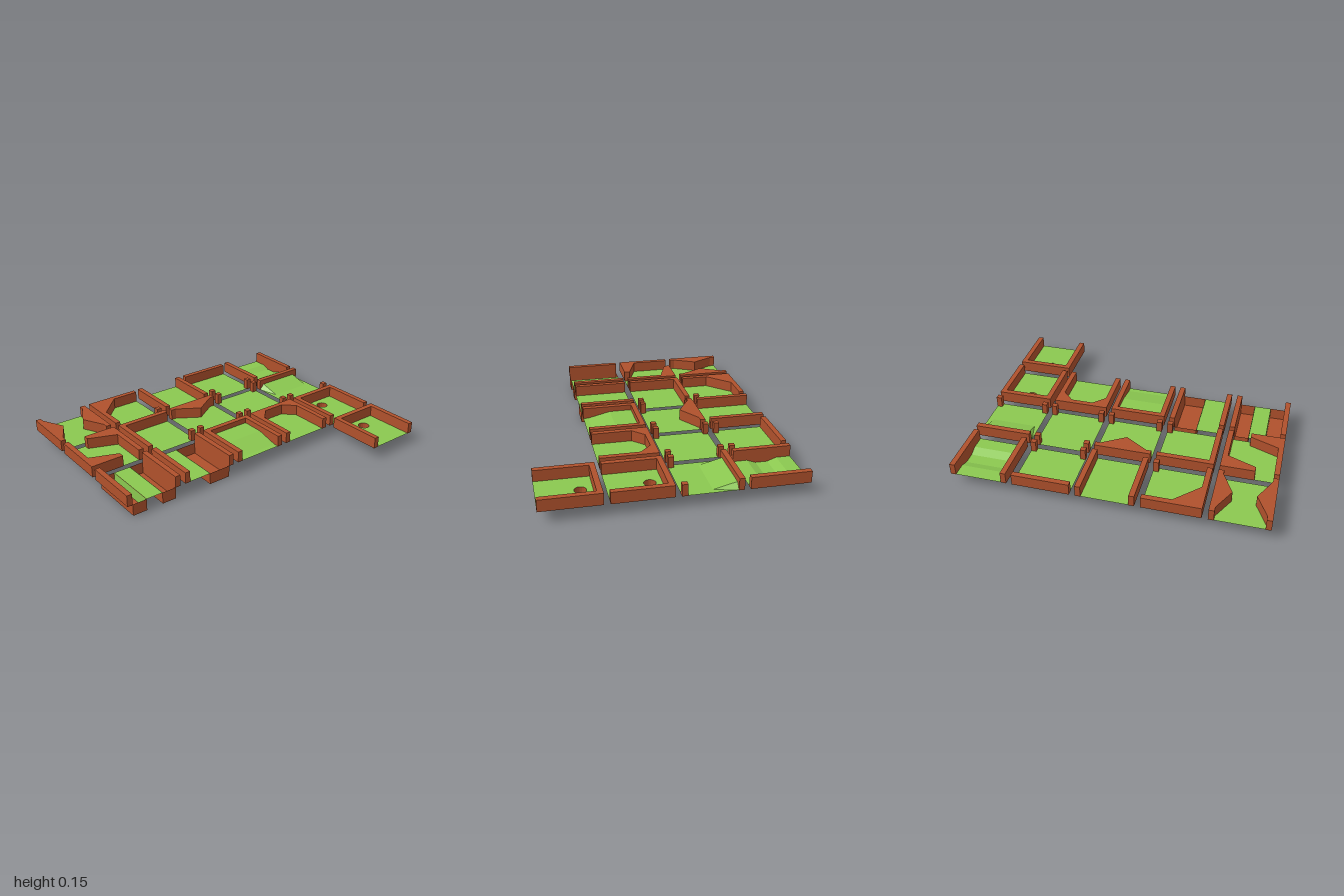
import * as THREE from 'three';

const H = 0.185, I = 0.15;              // tile half size, inner face of the walls
const FLOOR = 0.077, TOP = 0.15, RAISED = 0.113, DIP = 0.056;
const PITCH = 0.407;

export function createModel() {
  const model = new THREE.Group();
  model.name = 'golfCourseTiles';
  const green = new THREE.MeshStandardMaterial({ color: 0x8bc850, side: THREE.DoubleSide });
  green.name = 'turfGreen';
  const brown = new THREE.MeshStandardMaterial({ color: 0xb0512c, side: THREE.DoubleSide });
  brown.name = 'woodBrown';

  const add = (parent, name, geometry, material) => {
    const mesh = new THREE.Mesh(geometry, material);
    mesh.name = name;
    parent.add(mesh);
    return mesh;
  };
  const flat = (g) => {
    const f = g.index ? g.toNonIndexed() : g;
    f.computeVertexNormals();
    return f;
  };
  const tile = (name, col, row) => {
    const g = new THREE.Group();
    g.name = name;
    g.position.set((col - 2) * PITCH, 0, (row - 1.5) * PITCH);
    model.add(g);
    return g;
  };
  const shapeOf = (pts) => new THREE.Shape(pts.map(([x, z]) => new THREE.Vector2(x, -z)));
  const mirror = (pts) => pts.map(([x, z]) => [-x, z]);
  const turn = (pts) => pts.map(([x, z]) => [-x, -z]);
  const rect = (x0, z0, x1, z1) => [[x0, z0], [x1, z0], [x1, z1], [x0, z1]];

  // Wall: plan outline raised from just below the turf to the rail height
  const wall = (t, pts, name = 'wall') => {
    const g = new THREE.ExtrudeGeometry(shapeOf(pts), { depth: TOP - FLOOR + 0.002, bevelEnabled: false });
    g.rotateX(-Math.PI / 2).translate(0, FLOOR - 0.002, 0);
    add(t, name, g, brown);
  };
  const post = (t, sx, sz) => wall(t, rect(sx * I, sz * I, sx * H, sz * H), 'cornerPost');

  // Turf strip following a list of [z, y] heights
  const turf = (t, x0 = -H, x1 = H, profile = [[-H, FLOOR], [H, FLOOR]]) => {
    const g = new THREE.PlaneGeometry(x1 - x0, 1, 1, profile.length - 1).rotateX(-Math.PI / 2);
    const p = g.attributes.position;
    for (let i = 0; i < p.count; i++) {
      const [z, y] = profile[Math.floor(i / 2)];
      p.setXYZ(i, p.getX(i) + (x0 + x1) / 2, y, z);
    }
    add(t, 'turf', flat(g), green);
  };

  // Wall outlines shared by several tiles
  const leftRail = rect(-H, -H, -I, H);
  const rightRail = mirror(leftRail);
  const backRail = rect(-H, -H, H, -I);
  const corner = [[-H, -H], [H, -H], [H, -I], [-I, -I], [-I, H], [-H, H]];
  const bay = [[-H, H], [-H, -H], [H, -H], [H, H], [I, H], [I, -I], [-I, -I], [-I, H]];
  const flatInner = [[-I, FLOOR], [H, FLOOR]];

  // Back row
  let t = tile('narrowsTile', 0, 0);
  const pinch = [[-H, -H], [-I, -H], [-I, -I], [-0.073, 0], [-I, I], [-I, H], [-H, H]];
  wall(t, pinch);
  wall(t, mirror(pinch));
  turf(t, -I, I);

  t = tile('angledCornerTile', 1, 0);
  wall(t, [[-H, -H], [H, -H], [H, -I], [0, -I], [-I, 0], [-I, H], [-H, H]]);
  post(t, 1, 1);
  turf(t, -I, H, flatInner);

  t = tile('straightTile', 2, 0);
  wall(t, leftRail);
  wall(t, rightRail);
  turf(t, -I, I);

  t = tile('sideTile', 3, 0);
  wall(t, backRail);
  post(t, -1, 1);
  post(t, 1, 1);
  turf(t, -H, H, flatInner);

  t = tile('dipTile', 4, 0);
  wall(t, leftRail);
  wall(t, rightRail);
  const dip = [[-0.095, FLOOR], [-0.038, DIP], [0.038, DIP], [0.095, FLOOR]];
  turf(t, -I, I, [[-H, FLOOR], ...dip, [H, FLOOR]]);
  for (const s of [-1, 1]) {
    const side = new THREE.ShapeGeometry(new THREE.Shape(dip.map(([z, y]) => new THREE.Vector2(z, y))));
    side.rotateY(-Math.PI / 2).translate(s * I, 0, 0);
    if (s > 0) side.setIndex([...side.index.array].reverse());
    side.computeVertexNormals();
    add(t, 'dipSide', side, brown);
  }

  // Second row
  t = tile('slantTile', 0, 1);
  const slant = [[-H, -H], [-I, -H], [-I, 0.075], [0.035, I - 0.004], [0.035, H], [-H, H]];
  wall(t, slant);
  wall(t, turn(slant));
  turf(t, -I, I);

  t = tile('cornerTile', 1, 1);
  wall(t, corner);
  post(t, 1, 1);
  turf(t, -I, H, flatInner);

  t = tile('wedgeTile', 2, 1);
  wall(t, [[-H, -H], [H, -H], [H, -I], [I, -I], [0, -0.055], [-I, -I], [-H, -I]]);
  post(t, -1, 1);
  post(t, 1, 1);
  turf(t, -H, H, flatInner);

  t = tile('openTile', 3, 1);
  for (const sx of [-1, 1]) for (const sz of [-1, 1]) post(t, sx, sz);
  turf(t);

  t = tile('bankTile', 4, 1);
  wall(t, backRail);
  post(t, -1, 1);
  post(t, 1, 1);
  turf(t, -I, I, [[-I, RAISED], [-0.005, FLOOR], [H, FLOOR]]);
  for (const s of [-1, 1]) {
    // level edge strip beside the bank, then the sloped flank
    const edge = new THREE.ShapeGeometry(shapeOf([[s * H, -I], [s * H, H], [s * I, H], [s * I, -0.005]]));
    add(t, 'turfEdge', edge.rotateX(-Math.PI / 2).translate(0, FLOOR, 0), green);
    const a = [s * I, RAISED, -I], b = [s * I, FLOOR, -0.005], c = [s * H, FLOOR, -I];
    const flank = new THREE.BufferGeometry();
    const corners = s > 0 ? [a, b, c] : [a, c, b];
    flank.setAttribute('position', new THREE.Float32BufferAttribute(corners.flat(), 3));
    add(t, 'bankFlank', flat(flank), green);
  }

  // Third row: sunken troughs with turf-faced inner sides
  const trough = (t, x0, x1, innerX) => {
    const box = new THREE.BoxGeometry(x1 - x0, FLOOR, 2 * H).translate((x0 + x1) / 2, FLOOR / 2, 0);
    box.setIndex([...box.index.array].filter((_, i) => i < 12 || i > 17));
    add(t, 'trough', box, brown);
    const s = innerX === x0 ? 1 : -1;
    const lining = new THREE.PlaneGeometry(2 * H - 0.004, FLOOR - 0.002).rotateY(s * Math.PI / 2);
    add(t, 'troughLining', lining.translate(innerX + s * 0.002, FLOOR / 2 + 0.001, 0), green);
  };

  t = tile('twinTroughTile', 0, 2);
  wall(t, leftRail);
  wall(t, rightRail);
  turf(t, -0.055, 0.055);
  trough(t, -I, -0.055, -0.055);
  trough(t, 0.055, I, 0.055);

  t = tile('singleTroughTile', 1, 2);
  wall(t, leftRail);
  wall(t, rightRail);
  turf(t, -I, 0);
  trough(t, 0, I, 0);

  t = tile('rampTile', 2, 2);
  wall(t, bay);
  turf(t, -I, I, [[-I, RAISED], [0, RAISED], [I, FLOOR], [H, FLOOR]]);

  t = tile('roundedEndTile', 3, 2);
  wall(t, [[-H, H], [-H, -H], [H, -H], [H, H], [I, H], [I, -0.075], [0.075, -I],
    [-0.075, -I], [-I, -0.075], [-I, H]]);
  turf(t, -I, I, flatInner);

  // Hole tiles with a sunken cup
  for (const row of [2, 3]) {
    t = tile('holeTile', 4, row);
    wall(t, bay);
    const r = 0.037, cz = -0.076, bottom = 0.038;
    const lawn = shapeOf(rect(-I, -I, I, H));
    lawn.holes.push(new THREE.Path().absarc(0, -cz, r, 0, Math.PI * 2, true));
    add(t, 'turf', new THREE.ShapeGeometry(lawn, 8).rotateX(-Math.PI / 2).translate(0, FLOOR, 0), green);
    const cup = new THREE.CylinderGeometry(r, r, FLOOR - bottom, 16, 1, true);
    add(t, 'cupSide', flat(cup.translate(0, (FLOOR + bottom) / 2, cz)), brown);
    const base = new THREE.CircleGeometry(r, 16).rotateX(-Math.PI / 2).translate(0, bottom, cz);
    add(t, 'cupBase', base, brown);
  }

  return model;
}
